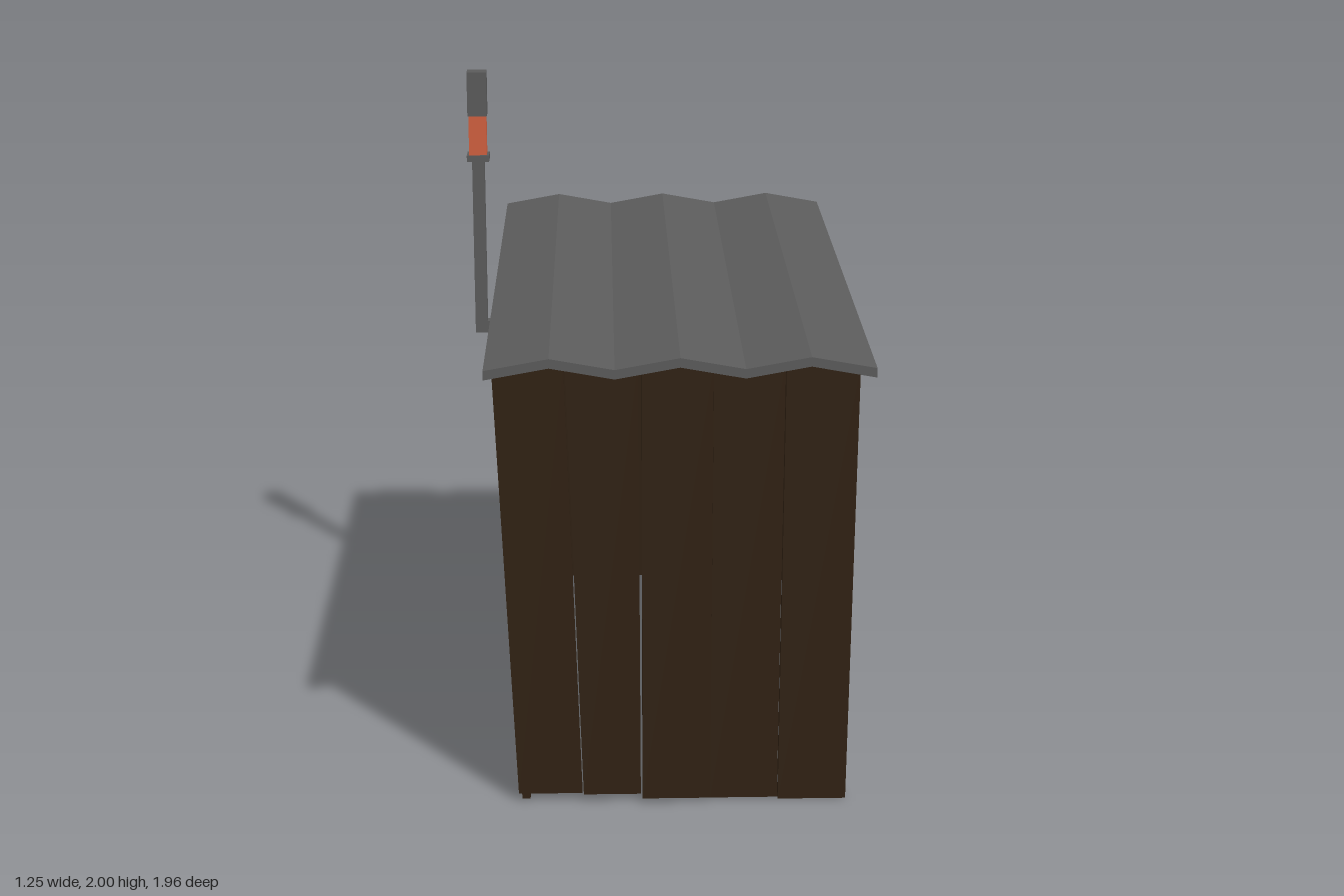
import * as THREE from 'three';

const wood = new THREE.MeshStandardMaterial({ color: 0x302113, flatShading: true });
const metal = new THREE.MeshStandardMaterial({ color: 0x5b5b5b, flatShading: true });
const orange = new THREE.MeshStandardMaterial({ color: 0xd2603f, flatShading: true });

const THICK = 0.025;

// One crooked board: a box whose corners are moved to the given edges.
// b = bottom edge, t = top edge, y0/y1 = heights, inset = setback from the wall,
// d0/d1 = outer depth of the wall at bottom/top
function plank([b0, b1, t0, t1, y0, y1, inset], d0, d1) {
  const geo = new THREE.BoxGeometry(1, 1, 1);
  const p = geo.attributes.position;
  for (let i = 0; i < p.count; i++) {
    const right = p.getX(i) > 0, top = p.getY(i) > 0, outer = p.getZ(i) > 0;
    const s = top ? (right ? t1 : t0) : (right ? b1 : b0);
    p.setXYZ(i, s, top ? y1 : y0, (top ? d1 : d0) - inset - (outer ? 0 : THICK));
  }
  geo.computeVertexNormals();
  const mesh = new THREE.Mesh(geo, wood);
  mesh.name = 'plank';
  return mesh;
}

// A wall of boards, laid out facing +z and then turned to its side
function wall(name, angle, d0, d1, rows) {
  const g = new THREE.Group();
  g.name = name;
  rows.forEach((r) => g.add(plank(r, d0, d1)));
  g.rotation.y = angle;
  return g;
}

function box(name, mat, w, h, d, x, y, z) {
  const m = new THREE.Mesh(new THREE.BoxGeometry(w, h, d), mat);
  m.name = name;
  m.position.set(x, y, z);
  return m;
}

// Corrugated roof sheet, rising towards the back
function roof() {
  const top = [], bottom = [];
  for (let i = 0; i < 7; i++) {
    const x = -0.51 + i * 0.188, y = 1.39 + (i % 2) * 0.034;
    bottom.push(new THREE.Vector2(x, y));
    top.unshift(new THREE.Vector2(x, y + 0.028));
  }
  const geo = new THREE.ExtrudeGeometry(new THREE.Shape([...bottom, ...top]), { depth: 1.96, bevelEnabled: false });
  geo.translate(0, 0, -0.98);
  const p = geo.attributes.position;
  for (let i = 0; i < p.count; i++) {
    const z = p.getZ(i);
    p.setX(i, p.getX(i) - 0.005 * z);
    p.setY(i, p.getY(i) - 0.036 * z);
  }
  geo.computeVertexNormals();
  const m = new THREE.Mesh(geo, metal);
  m.name = 'roof';
  return m;
}

export function createModel() {
  const model = new THREE.Group();
  model.name = 'shed';

  model.add(wall('frontWall', 0, 0.945, 0.918, [
    [-0.435, -0.242, -0.495, -0.287, 0.03, 1.375, 0.022],
    [-0.238, -0.065, -0.283, -0.07, 0.03, 1.385, 0.012],
    [-0.06, 0.145, -0.06, 0.148, 0.02, 1.38, 0],
    [0.146, 0.35, 0.15, 0.357, 0.008, 1.38, 0.025],
    [0.352, 0.558, 0.36, 0.575, 0.005, 1.375, 0.018],
  ]));

  model.add(wall('backWall', Math.PI, 0.96, 0.92, [
    [-0.555, -0.356, -0.57, -0.364, 0.03, 1.43, 0.015],
    [-0.35, -0.15, -0.357, -0.152, 0.015, 1.44, 0.005],
    [-0.146, 0.056, -0.148, 0.06, 0.025, 1.44, 0.015],
    [0.064, 0.24, 0.068, 0.225, 0.03, 1.44, 0],
    [0.242, 0.432, 0.232, 0.49, 0.03, 1.43, 0.025],
  ]));

  // Long wall on +x
  model.add(wall('leftWall', Math.PI / 2, 0.55, 0.562, [
    [-0.915, -0.685, -0.895, -0.655, 0.015, 1.365, 0.008],
    [-0.668, -0.46, -0.645, -0.435, 0.01, 1.378, 0],
    [-0.425, -0.225, -0.445, -0.24, 0.025, 1.38, 0.008],
    [-0.218, -0.012, -0.212, -0.01, 0.015, 1.382, 0],
    [0.01, 0.218, 0, 0.2, 0.03, 1.386, 0.008],
    [0.223, 0.435, 0.255, 0.483, 0.015, 1.378, 0],
    [0.445, 0.653, 0.456, 0.658, 0.012, 1.378, 0.008],
    [0.67, 0.905, 0.659, 0.91, 0.02, 1.42, 0],
  ]));

  // Long wall on -x, with a doorway under two short boards
  model.add(wall('rightWall', -Math.PI / 2, 0.425, 0.467, [
    [-0.92, -0.69, -0.9, -0.68, 0.01, 1.378, 0.008],
    [-0.682, -0.462, -0.675, -0.455, 0.025, 1.378, 0],
    [-0.455, -0.225, -0.45, -0.225, 1.13, 1.378, 0.008],
    [-0.222, -0.005, -0.222, -0.005, 1.13, 1.382, 0],
    [0, 0.222, 0, 0.225, 0.015, 1.38, 0.008],
    [0.23, 0.45, 0.23, 0.445, 0.025, 1.38, 0],
    [0.462, 0.68, 0.452, 0.67, 0.01, 1.375, 0.008],
    [0.685, 0.915, 0.68, 0.895, 0.01, 1.365, 0],
  ]));

  model.add(roof());

  // Stovepipe on the -x wall
  const pipe = new THREE.Group();
  pipe.name = 'stovepipe';
  const z = -0.572, x = -0.588;
  pipe.add(
    box('wallFlange', metal, 0.07, 0.08, 0.08, -0.465, 1.104, z),
    box('horizontalPipe', metal, 0.13, 0.042, 0.042, -0.544, 1.104, z),
    box('verticalPipe', metal, 0.042, 0.613, 0.042, x, 1.3895, z),
    box('collar', metal, 0.076, 0.022, 0.076, x, 1.704, z),
    box('orangeBand', orange, 0.06, 0.137, 0.06, x, 1.7825, z),
    box('chimneyCap', metal, 0.066, 0.15, 0.066, x, 1.925, z),
  );
  model.add(pipe);
  return model;
}
